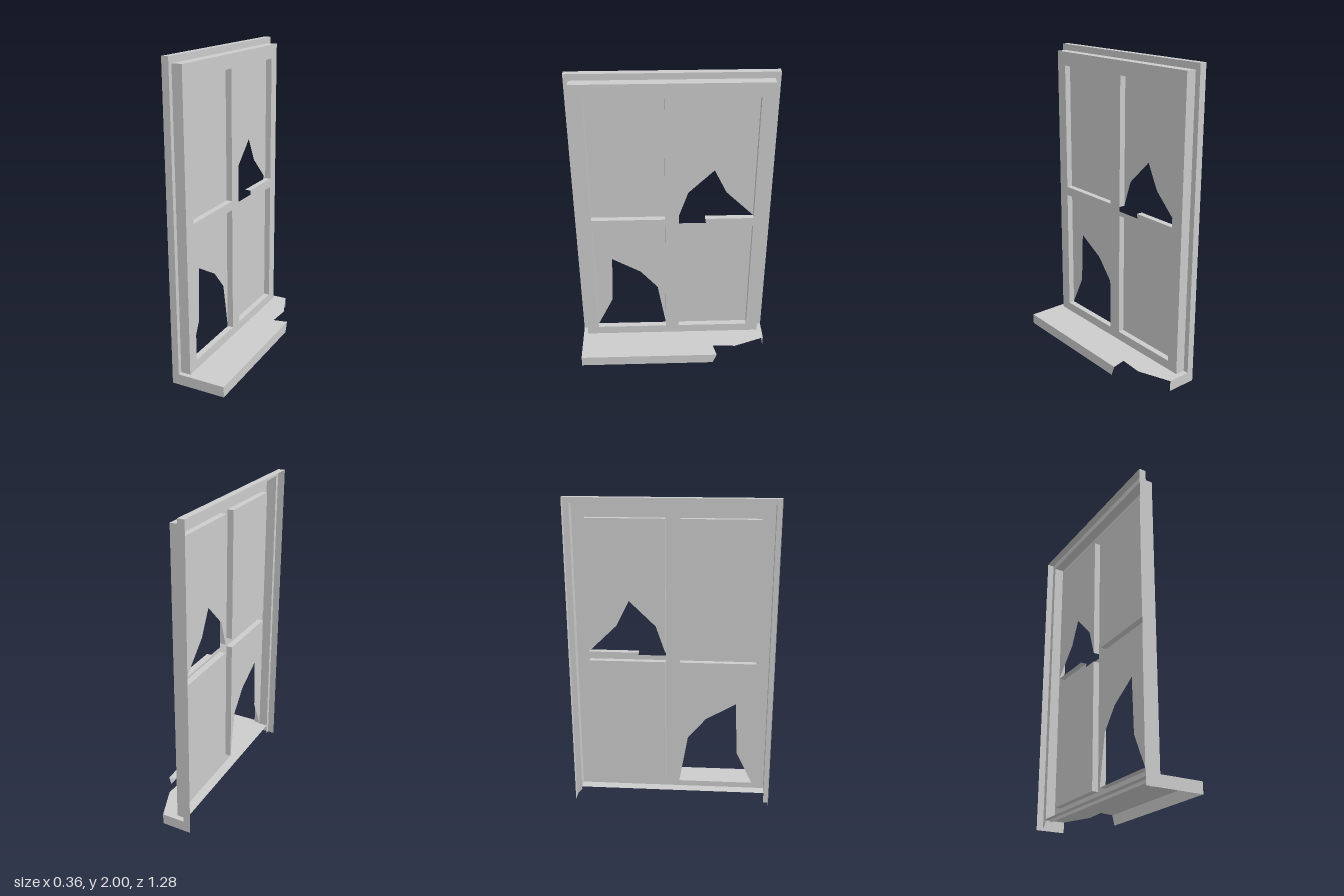
import * as THREE from 'three';

const mat = new THREE.MeshStandardMaterial({ color: 0xcccccc, side: THREE.DoubleSide, flatShading: true });

// key planes: open back, casing face, glass, sash face, sill front
const BACK = -0.18, CASING = -0.135, GLASS = -0.11, SASH = -0.07, SILL = 0.18, SILL_Y = 0.07;

function add(group, name, geo) {
  const m = new THREE.Mesh(geo, mat);
  m.name = name;
  group.add(m);
  return m;
}

// flat sheet facing +x; points are [z, y]
function sheet(pts, x, holes = []) {
  const v = (list) => list.map(([z, y]) => new THREE.Vector2(-z, y));
  const s = new THREE.Shape(v(pts));
  holes.forEach((h) => s.holes.push(new THREE.Path(v(h))));
  return new THREE.ShapeGeometry(s).rotateY(Math.PI / 2).translate(x, 0, 0);
}

// open strip sweeping a [z, y] path from x0 to x1
function wall(path, x0, x1) {
  const pos = [];
  for (let i = 0; i + 1 < path.length; i++) {
    const [z0, y0] = path[i], [z1, y1] = path[i + 1];
    pos.push(x0, y0, z0, x1, y0, z0, x1, y1, z1, x0, y0, z0, x1, y1, z1, x0, y1, z1);
  }
  const g = new THREE.BufferGeometry();
  g.setAttribute('position', new THREE.Float32BufferAttribute(pos, 3));
  g.computeVertexNormals();
  return g;
}

const rect = (z0, z1, y0, y1) => [[z0, y0], [z1, y0], [z1, y1], [z0, y1]];

export function createModel() {
  const g = new THREE.Group();
  g.name = 'brokenWindow';

  // outer casing: thin shell, open at the back
  add(g, 'casingFace', sheet([[0.64, 0], [0.64, 2], [-0.64, 2], [-0.64, 0.01], [-0.605, 0.05],
    [-0.605, 1.96], [0.61, 1.96], [0.61, 0]], CASING));
  add(g, 'casingSides', wall([[0.64, 0], [0.64, 2], [-0.64, 2], [-0.64, 0]], BACK, CASING));

  // panes: [z0, z1, y0, y1, top of broken glass]
  const zL = [0.53, 0.05], zR = [-0.04, -0.525], lo = [0.13, 0.97], hi = [1.03, 1.87];
  const panes = [
    { z: zL, y: hi },
    { z: zR, y: lo },
    { z: zL, y: lo, edge: [[0.105, 0.45], [0.22, 0.585], [0.41, 0.695], [0.425, 0.345]] },
    { z: zR, y: hi, edge: [[-0.345, 1.205], [-0.265, 1.365], [-0.1, 1.205]], chipped: true },
  ];

  const openings = [];
  panes.forEach(({ z: [z0, z1], y: [y0, y1], edge, chipped }) => {
    const r = rect(z0, z1, y0, y1);
    // chipped rail drops the sill of one opening
    const opening = chipped ? [[z0, 1.0], [-0.215, 1.0], [-0.21, y0], [z1, y0], [z1, y1], [z0, y1]] : r;
    openings.push(opening);
    const reveal = chipped ? [[-0.21, y0], ...r.slice(1), r[0]] : [...r, r[0]];
    add(g, 'paneReveal', wall(reveal, GLASS, SASH));
    const glass = edge ? [[z0, y0], [z0, y1], [z1, y1], [z1, y0], ...edge] : r;
    add(g, edge ? 'brokenPane' : 'pane', sheet(glass, GLASS));
  });

  // sash with four openings
  add(g, 'sashFace', sheet(rect(0.61, -0.605, SILL_Y, 1.96), SASH, openings));
  add(g, 'sashSides', wall([[0.61, SILL_Y], [0.61, 1.96], [-0.605, 1.96], [-0.605, SILL_Y]], CASING, SASH));

  // sill: hollow below, one corner snapped off
  const top = new THREE.Shape([[CASING, 0.64], [SILL, 0.64], [SILL, -0.295], [0.085, -0.275],
    [0.095, -0.43], [0.015, -0.64], [CASING, -0.64]].map(([x, z]) => new THREE.Vector2(x, -z)));
  add(g, 'sillTop', new THREE.ShapeGeometry(top).rotateX(-Math.PI / 2).translate(0, SILL_Y, 0));
  add(g, 'sillFront', sheet([[0.64, 0], [0.64, SILL_Y], [-0.295, SILL_Y], [-0.27, 0]], SILL));
  add(g, 'sillLip', sheet(rect(0.61, -0.605, 0.05, SILL_Y), -0.1));
  [[0.64, SILL], [-0.64, 0.015]].forEach(([z, x]) =>
    add(g, 'sillEnd', wall([[z, 0], [z, SILL_Y]], CASING, x)));

  return g;
}
